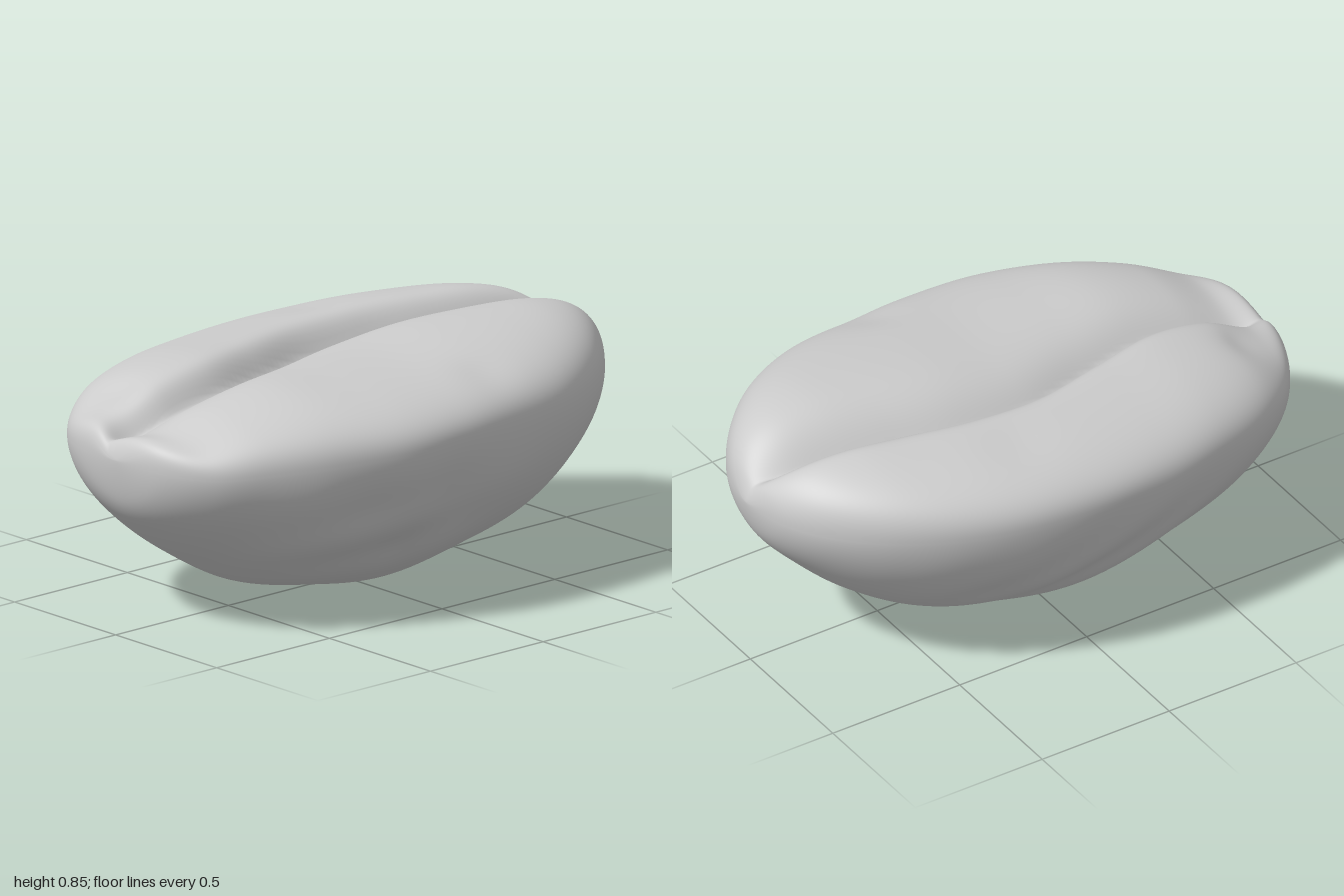
import * as THREE from 'three';

// smooth curve through values spaced evenly in angle from the -x tip to the +x tip
const profile = (...v) => {
  const curve = new THREE.SplineCurve(v.map((y, i) => new THREE.Vector2(i, y)));
  return (t) => curve.getPoint(t).y;
};

const backZ = profile(0, -0.22, -0.39, -0.51, -0.585, -0.635, -0.65, -0.63, -0.56, -0.45, -0.31, -0.15, 0.03);
const frontZ = profile(0, 0.2, 0.35, 0.46, 0.56, 0.635, 0.645, 0.62, 0.58, 0.48, 0.34, 0.19, 0.03);
const bottomY = profile(0.6, 0.44, 0.325, 0.205, 0.09, 0.035, 0.0, 0.035, 0.1, 0.225, 0.37, 0.49, 0.62);
const frontTopY = profile(0.6, 0.69, 0.71, 0.775, 0.815, 0.818, 0.825, 0.85, 0.862, 0.862, 0.83, 0.755, 0.62);
const backTopY = profile(0.6, 0.69, 0.715, 0.785, 0.82, 0.825, 0.83, 0.838, 0.84, 0.835, 0.8, 0.72, 0.62);
const equatorY = profile(0.6, 0.59, 0.58, 0.59, 0.6, 0.61, 0.62, 0.62, 0.62, 0.62, 0.62, 0.62, 0.62);
const grooveZ = profile(-0.03, -0.06, -0.06, -0.04, -0.045, -0.095, -0.15, -0.145, -0.1, -0.055, -0.02, 0.02, 0.03);
const grooveDepth = profile(0, 0.04, 0.08, 0.1, 0.11, 0.12, 0.12, 0.12, 0.12, 0.12, 0.1, 0.045, 0);

// shallow dents (positive) and swellings (negative): x, y, z, radius, depth
const dents = [
  [-0.15, 0.2, 0.45, 0.1, 0.015], [-0.35, 0.42, 0.56, 0.14, 0.015], [-0.05, 0.42, 0.6, 0.12, 0.012],
  [0.25, 0.4, 0.58, 0.15, -0.01], [0.2, 0.78, 0.5, 0.1, 0.012], [-0.78, 0.74, -0.25, 0.08, 0.015],
  [0.35, 0.3, -0.45, 0.12, 0.01], [-0.5, 0.25, -0.35, 0.12, 0.012], [0.2, 0.8, -0.4, 0.12, 0.01],
];

// superellipse height over u in -1..1
const arch = (u, n) => Math.pow(Math.max(0, 1 - Math.pow(Math.min(1, Math.abs(u)), n)), 1 / n);

function beanPoint(t, phi) {
  const x = -Math.cos(t * Math.PI);
  const zb = backZ(t), zf = frontZ(t), eq = equatorY(t), u = Math.cos(phi);
  const z = (zb + zf) / 2 + (u * (zf - zb)) / 2;
  let y;
  if (Math.sin(phi) >= 0) {
    // two lobes divided by the crease: steep at the back, gentle at the front
    const d = z - grooveZ(t);
    const top = THREE.MathUtils.lerp(backTopY(t), frontTopY(t), THREE.MathUtils.smoothstep(d, -0.1, 0.2));
    const a = arch(u, 2.45);
    const cut = d > 0 ? Math.exp(-Math.pow(d / 0.1, 1.2)) : Math.exp(-Math.pow(-d / 0.05, 1.5));
    y = eq + (top - eq) * a - grooveDepth(t) * cut * Math.min(1, a * 1.3);
  } else {
    y = eq - (eq - bottomY(t)) * arch(u, 1.82);
  }
  const p = new THREE.Vector3(x, y, z);
  const inward = new THREE.Vector3(x * 0.5, 0.5, 0).sub(p).normalize();
  let push = 0;
  for (const [dx, dy, dz, r, depth] of dents) {
    const q = ((x - dx) ** 2 + (y - dy) ** 2 + (z - dz) ** 2) / (r * r);
    push += depth * Math.exp(-q);
  }
  // slanting wrinkles on the lower back, long ones on the lower front
  const backMask = Math.exp(-(((x + 0.1) / 0.4) ** 2 + ((y - 0.3) / 0.2) ** 2 + ((z + 0.45) / 0.25) ** 2));
  const frontMask = Math.exp(-(((x + 0.25) / 0.35) ** 2 + ((y - 0.25) / 0.2) ** 2 + ((z - 0.45) / 0.25) ** 2));
  push += 0.012 * backMask * Math.sin(26 * (0.6 * x + y)) + 0.01 * frontMask * Math.sin(26 * (y - 0.25 * x));
  return p.addScaledVector(inward, push);
}

export function createModel() {
  const group = new THREE.Group();
  group.name = 'coffeeBean';

  // closed skin: cross-section rings from tip to tip
  const rings = 120, sides = 240, positions = [], index = [];
  for (let i = 0; i <= rings; i++) {
    for (let j = 0; j < sides; j++) {
      positions.push(...beanPoint(i / rings, (j / sides) * Math.PI * 2));
    }
  }
  for (let i = 0; i < rings; i++) {
    for (let j = 0; j < sides; j++) {
      const k = (j + 1) % sides;
      const a = i * sides + j, b = a + sides, c = i * sides + k, d = c + sides;
      if (i < rings - 1) index.push(b, d, c);
      if (i > 0) index.push(a, b, c);
    }
  }
  const geometry = new THREE.BufferGeometry();
  geometry.setAttribute('position', new THREE.Float32BufferAttribute(positions, 3));
  geometry.setIndex(index);
  geometry.computeVertexNormals();

  // every vertex of a tip shares the tip's outward normal
  for (let j = 0; j < sides; j++) {
    geometry.attributes.normal.setXYZ(j, -1, 0, 0);
    geometry.attributes.normal.setXYZ(rings * sides + j, 1, 0, 0);
  }

  const bean = new THREE.Mesh(geometry, new THREE.MeshStandardMaterial({ color: 0xcccccc }));
  bean.name = 'bean';
  group.add(bean);
  return group;
}
